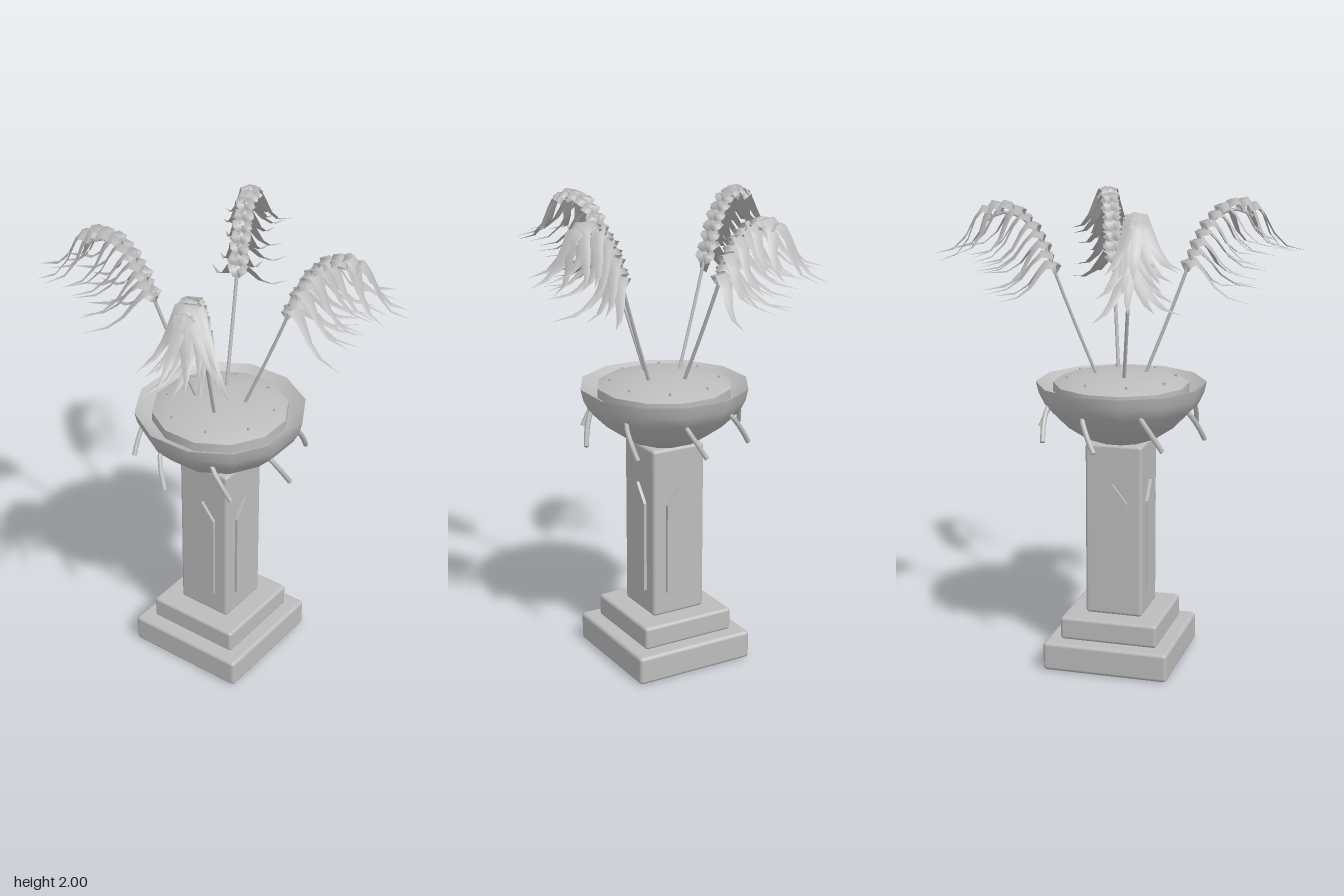
import * as THREE from 'three';
import { RoundedBoxGeometry } from 'three/addons/geometries/RoundedBoxGeometry.js';

const V2 = (x, y) => new THREE.Vector2(x, y);
const V3 = (x, y, z) => new THREE.Vector3(x, y, z);
const lerp = THREE.MathUtils.lerp;

// Leaf: broad scale hugging the spine, then a long thin spike.
// [outward, upward, width] at each station
const LEAF = [
  [0, 0, 0.03], [-0.006, 0.036, 0.08], [0.04, 0.045, 0.078], [0.085, 0.0, 0.05],
  [0.135, -0.07, 0.034], [0.2, -0.118, 0.022], [0.31, -0.14, 0.0],
];

function leafGeometry(out, drop) {
  const pos = [], index = [];
  LEAF.forEach(([x, y, w], i) => {
    const yy = y < 0 ? y * drop : y;
    // the middle is raised to make a shallow keel
    pos.push(x * out, yy - w * 0.12, -w / 2, x * out, yy + w * 0.1, 0, x * out, yy - w * 0.12, w / 2);
    if (i === 0) return;
    const a = (i - 1) * 3, b = i * 3;
    for (let k = 0; k < 2; k++) index.push(a + k, a + k + 1, b + k, a + k + 1, b + k + 1, b + k);
  });
  const g = new THREE.BufferGeometry();
  g.setAttribute('position', new THREE.Float32BufferAttribute(pos, 3));
  g.setIndex(index);
  g.computeVertexNormals();
  return g;
}

export function createModel() {
  const model = new THREE.Group();
  model.name = 'pedestalPlanter';
  const body = new THREE.Group();
  body.name = 'planter';
  body.position.set(-0.008, 0, -0.003);
  model.add(body);

  const stone = new THREE.MeshStandardMaterial({ color: 0xbcbcbc, side: THREE.DoubleSide });
  stone.name = 'stone grey';

  const add = (parent, name, geometry) => {
    const mesh = new THREE.Mesh(geometry, stone);
    mesh.name = name;
    parent.add(mesh);
    return mesh;
  };

  // Stepped base and square column
  const block = (name, w, y0, y1, r) => {
    add(body, name, new RoundedBoxGeometry(w, y1 - y0, w, 2, r)).position.y = (y0 + y1) / 2;
  };
  block('lowerPlinth', 0.545, 0, 0.125, 0.016);
  block('upperPlinth', 0.424, 0.125, 0.225, 0.014);
  block('column', 0.248, 0.225, 0.98, 0.014);

  // Pointed panel on each column face
  const outline = new THREE.Shape([
    V2(-0.063, 0.33), V2(0.063, 0.33), V2(0.063, 0.73), V2(0, 0.81), V2(-0.063, 0.73),
  ]);
  const panelGeo = new THREE.ExtrudeGeometry(outline, { depth: 0.025, bevelEnabled: false });
  panelGeo.translate(0, 0, 0.112);
  for (let i = 0; i < 4; i++) add(body, 'columnPanel', panelGeo).rotation.y = i * Math.PI / 2;

  // Faceted bowl, its sunken rim and the domed soil
  const lathe = (name, pts) =>
    add(body, name, new THREE.LatheGeometry(pts.map(p => V2(...p)), 12, Math.PI / 12));
  lathe('bowl', [[0, 0.972], [0.1, 0.972], [0.16, 0.995], [0.25, 1.055], [0.325, 1.13], [0.35, 1.18], [0.361, 1.228]]);
  lathe('bowlRim', [[0.361, 1.228], [0.3, 1.185], [0.27, 1.185]]);
  lathe('soilEdge', [[0.288, 1.18], [0.288, 1.225]]);
  lathe('soilDome', [[0.288, 1.225], [0.22, 1.252], [0.12, 1.266], [0, 1.272]]);

  // Slanted rods under the bowl and small studs on the dome
  const polar = (deg, r, y) => {
    const a = THREE.MathUtils.degToRad(deg);
    return V3(Math.cos(a) * r, y, Math.sin(a) * r);
  };
  const studGeo = new THREE.CylinderGeometry(0.006, 0.006, 0.03, 6);
  for (let i = 0; i < 8; i++) {
    const a = i * 45 + 2;
    const path = new THREE.CatmullRomCurve3([
      polar(a + 15, 0.285, 1.165), polar(a + 12, 0.32, 1.13), polar(a + 6, 0.347, 1.07), polar(a, 0.367, 1.005),
    ]);
    add(body, 'rod', new THREE.TubeGeometry(path, 6, 0.011, 6));
    const end = add(body, 'rodEnd', new THREE.CircleGeometry(0.011, 6));
    end.position.copy(path.getPoint(1));
    end.lookAt(end.position.clone().add(path.getTangent(1)));
    add(body, 'stud', studGeo).position.copy(polar(a + 22, 0.23, 1.24));
  }

  // Drooping leafy stalk leaning out along +x
  const spine = new THREE.CatmullRomCurve3([
    V3(0.1, 1.25, 0), V3(0.185, 1.46, 0), V3(0.258, 1.65, 0), V3(0.3, 1.765, 0),
    V3(0.352, 1.865, 0), V3(0.42, 1.93, 0), V3(0.49, 1.944, 0), V3(0.55, 1.915, 0),
  ]);
  const stemGeo = new THREE.TubeGeometry(spine, 24, 0.0075, 6);
  const NODES = 10;
  const leafGeos = Array.from({ length: NODES }, (_, i) =>
    leafGeometry(lerp(1, 0.76, i / (NODES - 1)), lerp(0.8, 1.15, i / (NODES - 1))));

  const addStalk = (deg) => {
    const stalk = new THREE.Group();
    stalk.name = 'stalk';
    stalk.rotation.y = -THREE.MathUtils.degToRad(deg);
    body.add(stalk);
    add(stalk, 'stem', stemGeo);
    for (let i = 0; i < NODES; i++) {
      const p = spine.getPointAt(lerp(0.53, 0.98, i / (NODES - 1)));
      for (const k of [-1, 1]) {
        const leaf = add(stalk, 'leaf', leafGeos[i]);
        // alternating narrow and wide pairs, jittered by a fixed wave
        const spread = i % 2 ? 0.14 : 0.46;
        const yaw = k * spread + 0.08 * Math.sin(i * 2.4 + k);
        leaf.position.copy(p);
        leaf.rotation.order = 'YXZ';
        leaf.rotation.set(k * 0.2, yaw, 0.05 * Math.sin(i * 1.7 + k * 2));
      }
    }
  };
  for (let i = 0; i < 4; i++) addStalk(-22.5 + i * 90);

  return model;
}
